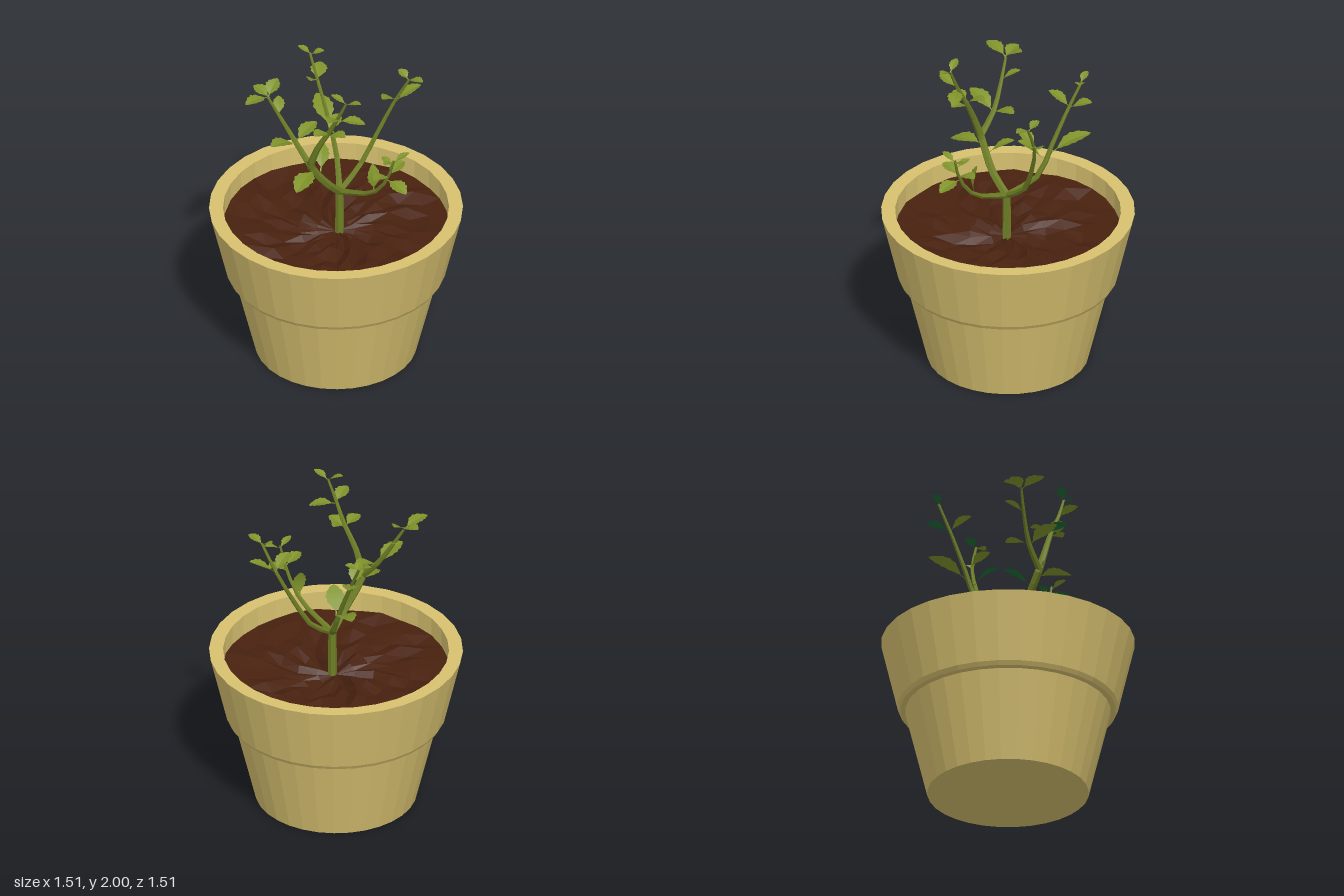
import * as THREE from 'three';

const mat = (name, color) => {
  const m = new THREE.MeshStandardMaterial({ color });
  m.name = name;
  return m;
};
const V = (p) => new THREE.Vector3(...p);

// facet a geometry so every face gets its own normal
function faceted(geo) {
  const g = geo.index ? geo.toNonIndexed() : geo;
  g.computeVertexNormals();
  return g;
}

// tapering six-sided limb through a few points
function limbGeometry(points, r0, r1) {
  const curve = new THREE.CatmullRomCurve3(points.map(V));
  const segs = (points.length - 1) * 2, sides = 6;
  const geo = new THREE.TubeGeometry(curve, segs, 1, sides);
  const pos = geo.attributes.position, v = new THREE.Vector3();
  for (let i = 0; i <= segs; i++) {
    const c = curve.getPointAt(i / segs), r = r0 + (r1 - r0) * i / segs;
    for (let j = 0; j <= sides; j++) {
      const k = i * (sides + 1) + j;
      v.fromBufferAttribute(pos, k).sub(c).multiplyScalar(r).add(c);
      pos.setXYZ(k, v.x, v.y, v.z);
    }
  }
  return faceted(geo);
}

// serrated leaf folded along its midrib; flip gives the underside
function leafGeometry(base, tip, width, flip) {
  const a = V(base), d = V(tip).sub(a);
  const side = new THREE.Vector3().crossVectors(d, new THREE.Vector3(0, 1, 0)).normalize();
  const up = new THREE.Vector3().crossVectors(side, d).normalize();
  const length = d.length(), steps = 12, pos = [], idx = [];
  const stalk = 0.2;
  for (let i = 0; i <= steps; i++) {
    const t = i / steps;
    const s = t < stalk ? 0 : (t - stalk) / (1 - stalk);
    const tooth = i % 2 ? 1.07 : 0.9;
    const w = Math.max(0.005 * (1 - t), width / 2 * Math.pow(Math.sin(Math.PI * Math.pow(s, 0.9)), 0.75) * tooth || 0);
    const mid = a.clone().addScaledVector(d, t).addScaledVector(up, length * 0.07 * Math.sin(Math.PI * t));
    for (const k of [-1, 0, 1]) {
      const p = mid.clone().addScaledVector(side, k * w).addScaledVector(up, Math.abs(k) * w * 0.22);
      pos.push(p.x, p.y, p.z);
    }
    if (i < steps) for (const k of [0, 1]) {
      const q = i * 3 + k;
      if (flip) idx.push(q, q + 3, q + 1, q + 1, q + 3, q + 4);
      else idx.push(q, q + 1, q + 3, q + 1, q + 4, q + 3);
    }
  }
  const geo = new THREE.BufferGeometry();
  geo.setAttribute('position', new THREE.Float32BufferAttribute(pos, 3));
  geo.setIndex(idx);
  return faceted(geo);
}

export function createModel() {
  const clay = mat('clay', 0xd6c06f);
  const earth = mat('earth', 0x48210f);
  const bark = mat('green bark', 0x6d7d24);
  const leafGreen = mat('leaf green', 0x7f932b);
  const deepGreen = mat('deep green', 0x1c6b35);

  const model = new THREE.Group();
  model.name = 'pottedPlant';
  const add = (parent, name, geo, material) => {
    const mesh = new THREE.Mesh(geo, material);
    mesh.name = name;
    parent.add(mesh);
  };

  // pot with stepped collar, thick rim and straight inner wall
  const profile = [[0, 0], [0.48, 0], [0.61, 0.535], [0.64, 0.54], [0.655, 0.565],
    [0.753, 0.982], [0.67, 0.982], [0.67, 0.78]].map(p => new THREE.Vector2(...p));
  add(model, 'pot', faceted(new THREE.LatheGeometry(profile, 32)), clay);

  // lumpy soil, slightly dished
  const soil = new THREE.RingGeometry(0.001, 0.672, 32, 6).rotateX(-Math.PI / 2);
  const sp = soil.attributes.position;
  for (let i = 0; i < sp.count; i++) {
    const x = sp.getX(i), z = sp.getZ(i), r = Math.hypot(x, z);
    const h = Math.sin(Math.round(x * 1000) * 12.9898 + Math.round(z * 1000) * 78.233) * 43.7;
    const bump = r < 0.01 ? 0 : (h - Math.floor(h) - 0.5) * (r > 0.6 ? 0.02 : 0.05);
    sp.setY(i, 0.81 + 0.05 * r / 0.67 + bump);
  }
  add(model, 'soil', faceted(soil), earth);

  // trunk and branches: name, points, start and end radius
  const plant = new THREE.Group();
  plant.name = 'plant';
  model.add(plant);
  const limbs = [
    ['trunk', [[0.01, 0.78, 0.02], [0.01, 0.95, 0.02], [0.01, 1.12, 0.02]], 0.028, 0.025],
    ['leftBranch', [[0.01, 1.1, 0.02], [0.17, 1.21, 0.03], [0.27, 1.38, 0.06], [0.37, 1.61, 0.12], [0.41, 1.8, 0.21]], 0.019, 0.008],
    ['backBranch', [[0.01, 1.1, 0.02], [0.13, 1.23, -0.12], [0.155, 1.4, -0.2], [0.175, 1.6, -0.3], [0.2, 1.8, -0.41]], 0.021, 0.008],
    ['frontBranch', [[0.01, 1.1, 0.02], [0.02, 1.21, 0.28], [0.02, 1.36, 0.4], [0.03, 1.52, 0.45]], 0.019, 0.007],
    ['rightBranch', [[0.01, 1.1, 0.02], [-0.1, 1.21, 0.03], [-0.22, 1.38, 0.01], [-0.24, 1.45, 0.02]], 0.026, 0.023],
    ['rightFrontTwig', [[-0.23, 1.4, 0.01], [-0.23, 1.55, 0.07], [-0.21, 1.7, 0.15], [-0.21, 1.83, 0.22], [-0.2, 1.96, 0.28]], 0.023, 0.007],
    ['rightBackTwig', [[-0.23, 1.4, 0.01], [-0.24, 1.52, -0.1], [-0.27, 1.65, -0.18], [-0.31, 1.8, -0.26]], 0.021, 0.008],
  ];
  for (const [name, pts, r0, r1] of limbs) add(plant, name, limbGeometry(pts, r0, r1), bark);

  // leaves: base, tip, width, 1 for a deep green underside
  const leafGroups = {
    rightLeaves: [
      [[-0.2, 1.36, 0.02], [-0.42, 1.33, 0.08], 0.12, 0],
      [[-0.15, 1.32, 0.02], [-0.03, 1.42, -0.08], 0.09, 1],
    ],
    rightBackLeaves: [
      [[-0.24, 1.51, -0.1], [-0.45, 1.59, -0.1], 0.11, 0],
      [[-0.24, 1.52, -0.1], [-0.06, 1.58, -0.1], 0.1, 0],
      [[-0.28, 1.68, -0.2], [-0.2, 1.75, -0.28], 0.07, 0],
      [[-0.31, 1.8, -0.26], [-0.49, 1.83, -0.27], 0.09, 0],
      [[-0.31, 1.8, -0.25], [-0.32, 1.84, -0.37], 0.09, 0],
      [[-0.31, 1.8, -0.26], [-0.2, 1.87, -0.29], 0.09, 0],
    ],
    rightFrontLeaves: [
      [[-0.21, 1.69, 0.14], [-0.08, 1.75, 0.11], 0.09, 0],
      [[-0.21, 1.69, 0.14], [-0.33, 1.72, 0.14], 0.09, 1],
      [[-0.21, 1.67, 0.14], [-0.2, 1.71, 0.27], 0.09, 0],
      [[-0.21, 1.82, 0.22], [-0.33, 1.87, 0.25], 0.09, 0],
      [[-0.21, 1.81, 0.22], [-0.1, 1.79, 0.34], 0.09, 0],
      [[-0.2, 1.95, 0.28], [-0.18, 1.99, 0.38], 0.055, 1],
      [[-0.2, 1.95, 0.28], [-0.24, 2.0, 0.19], 0.055, 1],
    ],
    backLeaves: [
      [[0.14, 1.34, -0.15], [0.05, 1.47, -0.03], 0.11, 1],
      [[0.16, 1.37, -0.2], [0.27, 1.47, -0.42], 0.12, 0],
      [[0.18, 1.64, -0.33], [0.06, 1.73, -0.27], 0.09, 0],
      [[0.18, 1.64, -0.33], [0.29, 1.69, -0.41], 0.1, 1],
      [[0.2, 1.79, -0.4], [0.17, 1.83, -0.48], 0.05, 1],
      [[0.2, 1.79, -0.4], [0.25, 1.82, -0.34], 0.06, 1],
    ],
    leftLeaves: [
      [[0.38, 1.63, 0.12], [0.25, 1.7, 0.14], 0.09, 0],
      [[0.38, 1.62, 0.13], [0.51, 1.71, 0.21], 0.09, 0],
      [[0.41, 1.79, 0.2], [0.42, 1.82, 0.31], 0.065, 0],
      [[0.41, 1.79, 0.2], [0.41, 1.83, 0.12], 0.065, 1],
    ],
    frontLeaves: [
      [[0.02, 1.23, 0.29], [0.03, 1.41, 0.27], 0.08, 0],
      [[0.02, 1.36, 0.4], [0.02, 1.33, 0.56], 0.1, 0],
      [[0.02, 1.39, 0.41], [0.16, 1.43, 0.41], 0.09, 0],
      [[0.02, 1.39, 0.41], [-0.11, 1.43, 0.42], 0.09, 1],
      [[0.03, 1.5, 0.45], [0.13, 1.54, 0.48], 0.05, 1],
      [[0.03, 1.5, 0.45], [-0.07, 1.54, 0.46], 0.05, 0],
      [[0.03, 1.46, 0.43], [0.04, 1.49, 0.34], 0.05, 1],
    ],
  };
  for (const [name, leaves] of Object.entries(leafGroups)) {
    const group = new THREE.Group();
    group.name = name;
    plant.add(group);
    for (const [base, tip, width, deep] of leaves) {
      add(group, 'leafTop', leafGeometry(base, tip, width, false), leafGreen);
      add(group, 'leafUnderside', leafGeometry(base, tip, width, true), deep ? deepGreen : leafGreen);
    }
  }
  return model;
}
